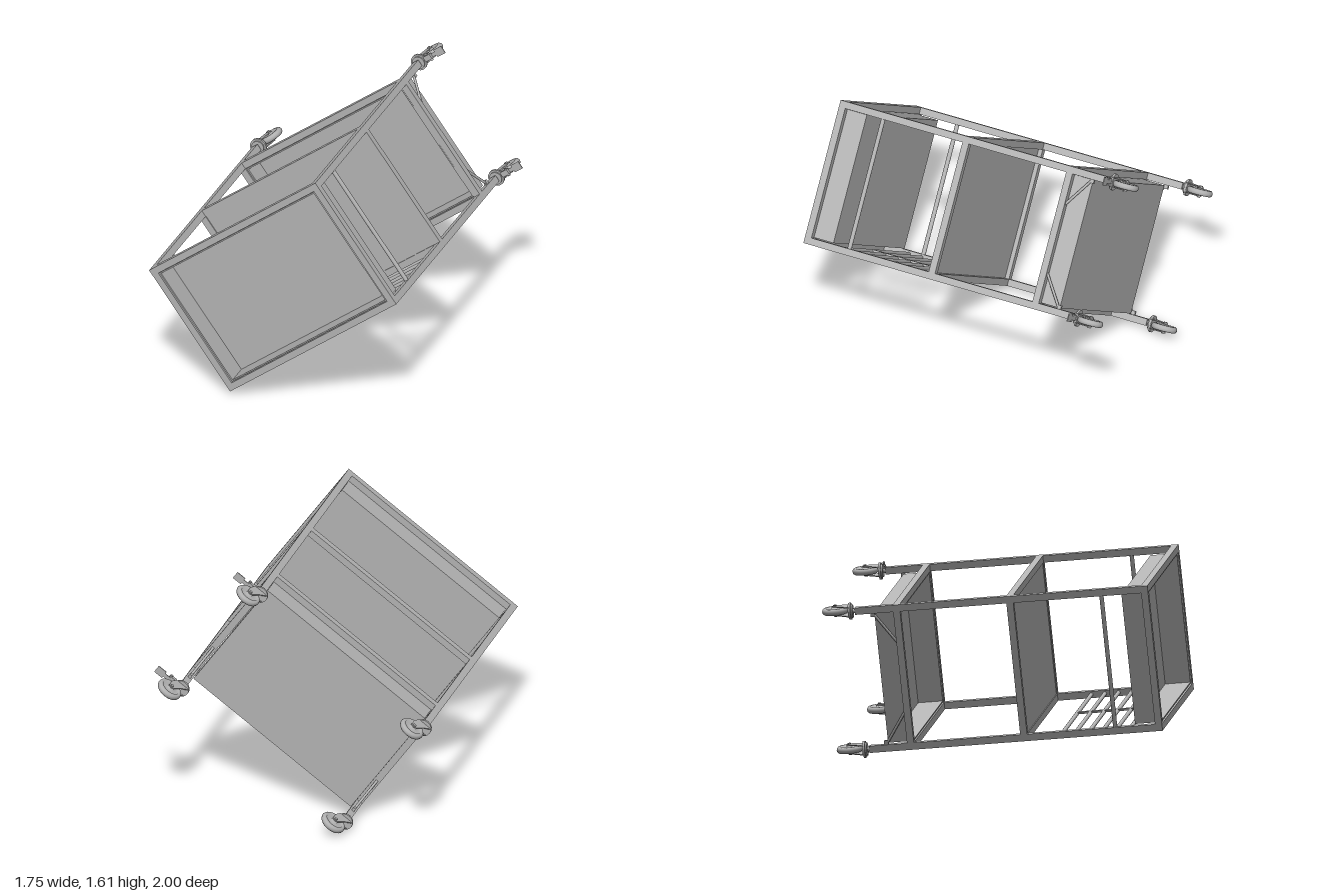
import * as THREE from 'three';

const grey = new THREE.MeshStandardMaterial({ color: 0xb2b2b2 });
grey.name = 'paintedSteelGrey';

// Cart dimensions: x is its length, y its width, z runs from casters to top
const HX = 0.656, HY = 0.4455, BAR = 0.042;
const PX = HX - BAR / 2, PY = HY - BAR / 2;
const IX = HX - BAR, IY = HY - BAR;

function add(parent, name, geometry, x = 0, y = 0, z = 0) {
  const mesh = new THREE.Mesh(geometry, grey);
  mesh.name = name;
  mesh.position.set(x, y, z);
  parent.add(mesh);
  return mesh;
}

function box(parent, name, w, h, d, x, y, z) {
  return add(parent, name, new THREE.BoxGeometry(w, h, d), x, y, z);
}

// Round rod between two points
function rod(parent, name, a, b, radius) {
  const from = new THREE.Vector3(...a), to = new THREE.Vector3(...b);
  const dir = to.clone().sub(from);
  const mesh = add(parent, name, new THREE.CylinderGeometry(radius, radius, dir.length(), 16));
  mesh.position.copy(from).add(to).multiplyScalar(0.5);
  mesh.quaternion.setFromUnitVectors(new THREE.Vector3(0, 1, 0), dir.normalize());
  return mesh;
}

// Four horizontal bars joining the posts
function frame(parent, name, z) {
  const group = new THREE.Group();
  group.name = name;
  for (const s of [-1, 1]) {
    box(group, 'longBar', 2 * IX, BAR, BAR, 0, s * PY, z);
    box(group, 'shortBar', BAR, 2 * IY, BAR, s * PX, 0, z);
  }
  parent.add(group);
}

// Open sheet-metal tray
function tray(parent, name, z0, z1) {
  const group = new THREE.Group();
  group.name = name;
  const t = 0.008, w = IX - 0.004, h = IY - 0.004, mid = (z0 + z1) / 2, d = z1 - z0;
  box(group, 'trayFloor', 2 * w, 2 * h, t, 0, 0, z0 + t / 2);
  for (const s of [-1, 1]) {
    box(group, 'trayLongWall', 2 * w, t, d, 0, s * (h - t / 2), mid);
    box(group, 'trayShortWall', t, 2 * (h - t), d, s * (w - t / 2), 0, mid);
  }
  parent.add(group);
}

// Swivel caster, trailing towards +x, with an optional brake pedal
function caster(parent, x, y, z, braked) {
  const group = new THREE.Group();
  group.name = braked ? 'brakedCaster' : 'caster';
  group.position.set(x, y, z);
  parent.add(group);

  rod(group, 'stem', [0, 0, 0.01], [0, 0, -0.02], 0.014);
  rod(group, 'swivelCap', [0, 0, -0.014], [0, 0, -0.026], 0.04);
  rod(group, 'swivelRing', [0, 0, -0.024], [0, 0, -0.038], 0.052);

  // Leaning fork plates
  const plate = new THREE.Shape([[-0.045, -0.034], [0.05, -0.034], [0.072, -0.085],
    [0.07, -0.135], [0.052, -0.147], [0.034, -0.138], [0.0, -0.085]]
    .map(p => new THREE.Vector2(...p)));
  const forkGeometry = new THREE.ExtrudeGeometry(plate, { depth: 0.006, bevelEnabled: false });
  forkGeometry.translate(0, 0, -0.003).rotateX(Math.PI / 2);
  for (const s of [-1, 1]) add(group, 'forkPlate', forkGeometry, 0, s * 0.027, 0);
  box(group, 'forkBridge', 0.09, 0.054, 0.007, 0.003, 0, -0.037);

  // Wheel with rounded tread and recessed sides
  const profile = [[0, -0.022], [0.022, -0.022], [0.022, -0.012], [0.054, -0.012], [0.056, -0.019],
    [0.07, -0.018], [0.077, -0.011], [0.08, 0], [0.077, 0.011], [0.07, 0.018],
    [0.056, 0.019], [0.054, 0.012], [0.022, 0.012], [0.022, 0.022], [0, 0.022]];
  add(group, 'wheel', new THREE.LatheGeometry(profile.map(p => new THREE.Vector2(...p)), 32),
    0.052, 0, -0.13);
  rod(group, 'axle', [0.052, -0.036, -0.13], [0.052, 0.036, -0.13], 0.01);

  if (braked) {
    box(group, 'brakeHousing', 0.05, 0.034, 0.024, 0.075, 0.002, -0.022);
    box(group, 'brakeArm', 0.06, 0.024, 0.006, 0.12, 0, -0.034);
    box(group, 'brakePedal', 0.06, 0.05, 0.006, 0.158, 0, -0.034);
    rod(group, 'brakePin', [0.09, -0.026, -0.022], [0.09, 0.026, -0.022], 0.008);
  }
}

export function createModel() {
  const model = new THREE.Group();
  model.name = 'utilityCart';
  const cart = new THREE.Group();
  cart.name = 'tippedCart';
  cart.position.set(-0.068, 0.77, 0);
  cart.rotation.z = THREE.MathUtils.degToRad(35.7);
  model.add(cart);

  // Corner posts and casters
  for (const sx of [-1, 1]) for (const sy of [-1, 1]) {
    box(cart, 'cornerPost', BAR, BAR, 1.79, sx * PX, sy * PY, 0.105);
    caster(cart, sx * PX, sy * PY, -0.79, sx > 0);
  }

  // Shelf frames, trays and the flat middle shelf
  frame(cart, 'topFrame', 0.979);
  frame(cart, 'middleFrame', 0.155);
  frame(cart, 'lowerFrame', -0.537);
  tray(cart, 'topTray', 0.83, 0.992);
  tray(cart, 'lowerTray', -0.68, -0.522);
  box(cart, 'middleShelf', 2 * IX, 2 * IY, 0.01, 0, 0, 0.165);

  // End rails and corner braces
  for (const sx of [-1, 1]) {
    rod(cart, 'endRail', [sx * PX, -IY, 0.712], [sx * PX, IY, 0.712], 0.013);
    for (const sy of [-1, 1]) {
      rod(cart, 'cornerBrace', [sx * PX, sy * 0.395, -0.68], [sx * PX, sy * 0.215, -0.555], 0.008);
      box(cart, 'braceClip', 0.018, 0.03, 0.026, sx * PX, sy * 0.395, -0.686);
    }
  }

  // Side rack: parallel rods tied by a central strut
  for (const z of [0.797, 0.712, 0.63, 0.547, 0.464, 0.381]) {
    rod(cart, 'rackRod', [-IX, -PY, z], [IX, -PY, z], 0.012);
  }
  box(cart, 'rackStrut', 0.03, 0.012, 0.416, 0.01, -PY + 0.006, 0.589);

  return model;
}
